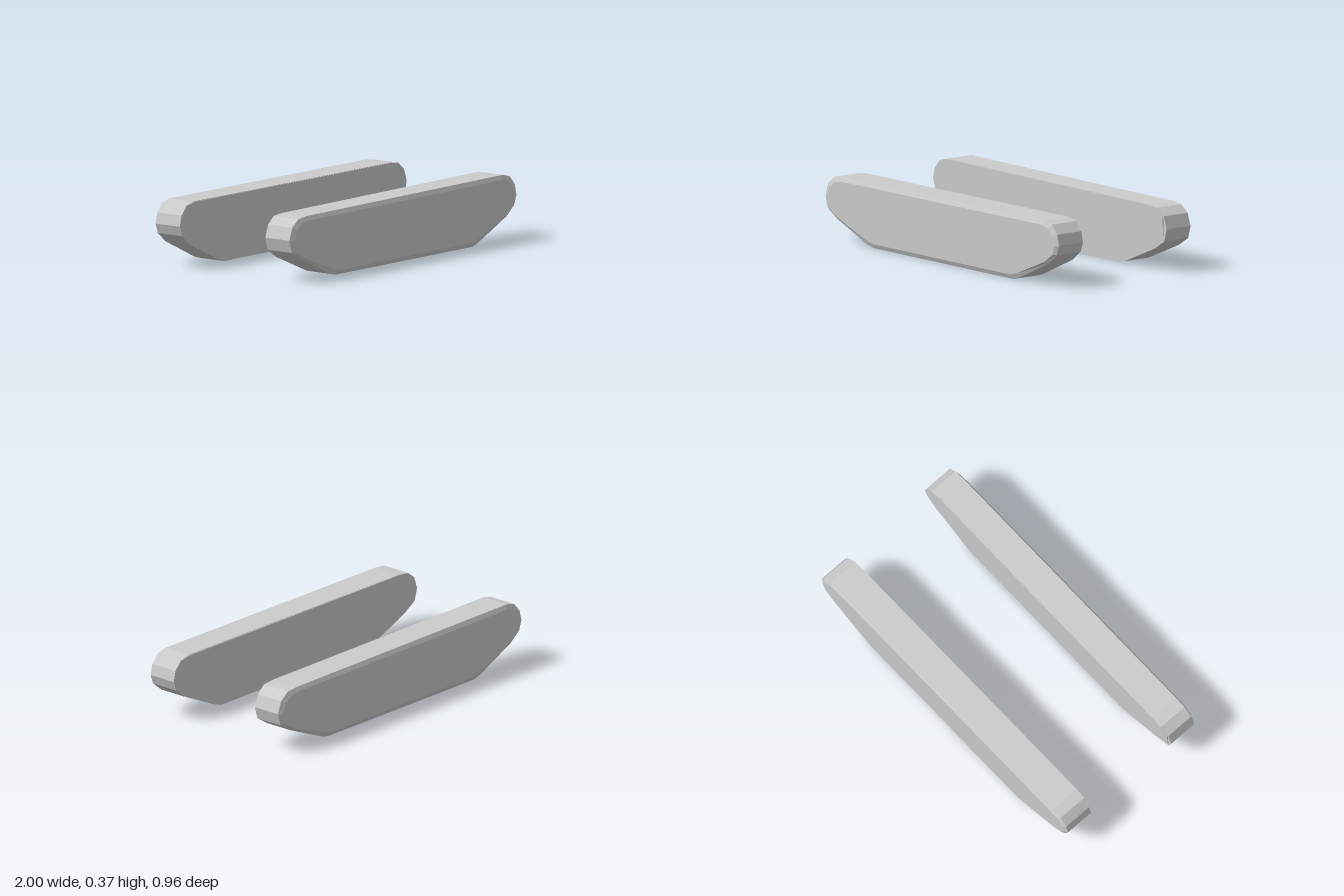
import * as THREE from 'three';

const material = new THREE.MeshStandardMaterial({ color: 0xcccccc, flatShading: true });
const INNER = 0.298, OUTER = 0.48, BEVEL = 0.012, MID_Y = 0.18;

const shapeFrom = (points) => new THREE.Shape(points.map(([x, y]) => new THREE.Vector2(x, y)));

// Side outline, counter-clockwise from the bottom
const outline = shapeFrom([
  [-0.59, 0], [0.61, 0], [0.66, 0.015], [0.91, 0.13], [0.98, 0.185], [1, 0.24],
  [0.985, 0.3], [0.94, 0.35], [0.88, 0.365], [-0.85, 0.358], [-0.92, 0.35],
  [-0.975, 0.31], [-1, 0.24], [-0.98, 0.17], [-0.9, 0.12], [-0.64, 0.012],
]);

// Shallow raised panel on the upper half of the inner face
const panelOutline = shapeFrom([
  [-0.975, 0.205], [0.85, 0.205], [0.94, 0.35], [0.88, 0.362], [-0.85, 0.357], [-0.92, 0.35], [-0.97, 0.305],
]);

// Extruded body: the middle ring moves out to the bevel, the last ring shrinks into it
function bodyGeometry() {
  const depth = OUTER - INNER;
  const geometry = new THREE.ExtrudeGeometry(outline, { depth, steps: 2, bevelEnabled: false });
  const p = geometry.attributes.position;
  for (let i = 0; i < p.count; i++) {
    const z = p.getZ(i);
    if (z > depth * 0.75) {
      p.setXY(i, p.getX(i) * 0.976, MID_Y + (p.getY(i) - MID_Y) * 0.865);
    } else if (z > depth * 0.25) {
      p.setZ(i, depth - BEVEL);
    }
  }
  geometry.translate(0, 0, INNER);
  geometry.computeVertexNormals();
  return geometry;
}

function makeTread(name) {
  const tread = new THREE.Group();
  tread.name = name;
  const body = new THREE.Mesh(bodyGeometry(), material);
  body.name = 'treadBody';
  const panelGeometry = new THREE.ExtrudeGeometry(panelOutline, { depth: 0.008, bevelEnabled: false });
  const panel = new THREE.Mesh(panelGeometry, material);
  panel.name = 'innerPanel';
  panel.position.z = INNER - 0.005;
  tread.add(body, panel);
  return tread;
}

export function createModel() {
  const model = new THREE.Group();
  model.name = 'treadPair';
  const front = makeTread('frontTread');
  // The second tread is the first turned half round
  const back = makeTread('backTread');
  back.rotation.y = Math.PI;
  model.add(front, back);
  return model;
}
